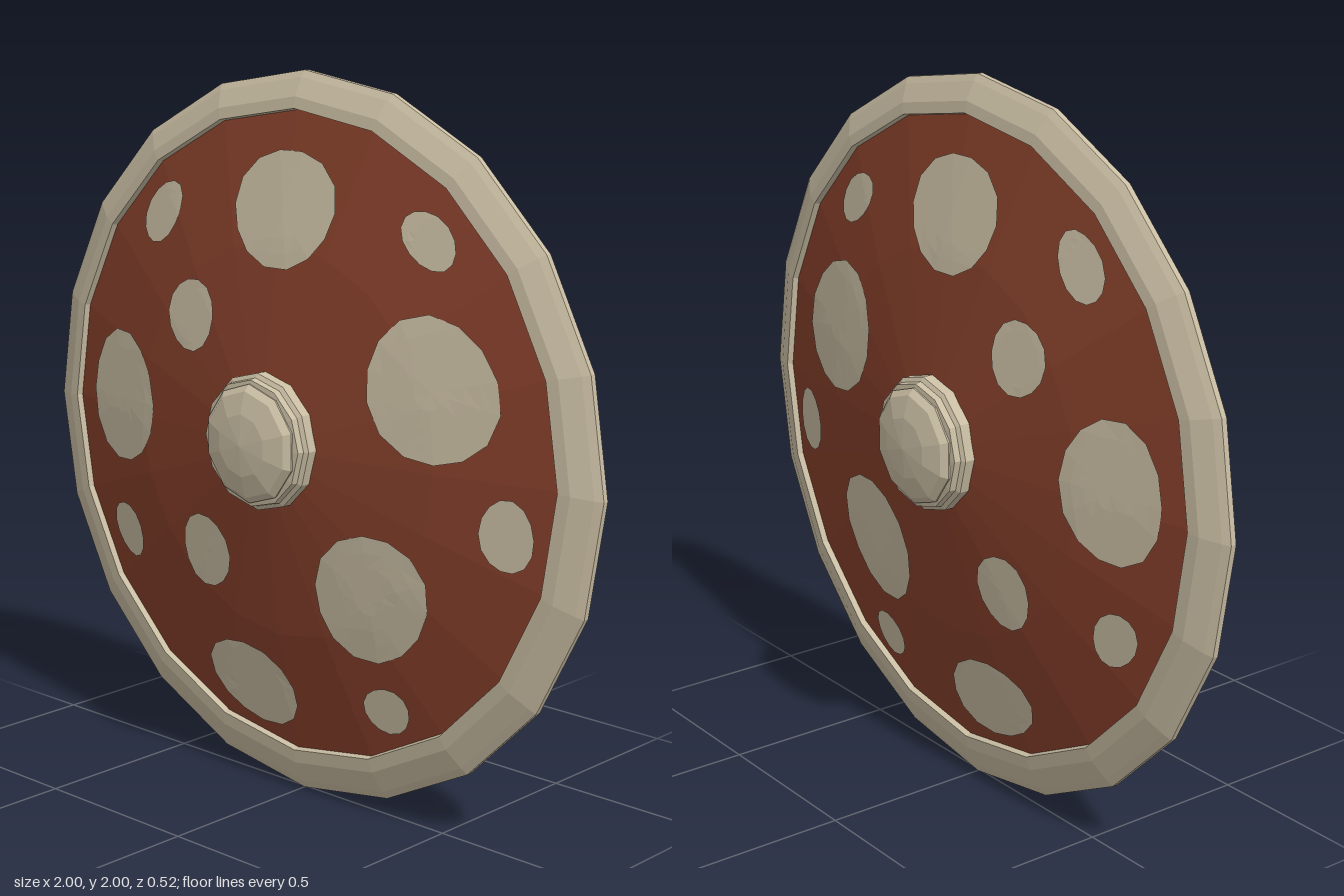
import * as THREE from 'three';

const SIDES = 20;
const CENTRE = 1.015; // height of the board's middle

// Board profile: radius, half thickness
const PROFILE = [[0, 0.178], [0.17, 0.164], [0.54, 0.108], [0.9, 0.03]];

// Spots: x, y, half width, half height, tilt in degrees
const SPOTS = [
  [0, 1.645, 0.182, 0.157, 0], [-0.49, 1.595, 0.1, 0.068, 50],
  [0.48, 1.6, 0.094, 0.062, -35], [-0.32, 1.33, 0.098, 0.1, 0],
  [0.525, 1.225, 0.2, 0.185, -35], [-0.645, 1.05, 0.16, 0.193, 0],
  [0.745, 0.88, 0.076, 0.096, 0], [-0.65, 0.65, 0.085, 0.066, 125],
  [-0.265, 0.67, 0.1, 0.106, 0], [0.335, 0.645, 0.192, 0.17, 45],
  [-0.14, 0.3, 0.176, 0.115, -12], [0.35, 0.325, 0.076, 0.066, 15],
];

// Height of the faceted board surface at a point measured from its middle
function boardHeight(x, y) {
  const step = (2 * Math.PI) / SIDES;
  const angle = Math.atan2(x, -y) + 2 * Math.PI;
  const off = (angle % step) - step / 2;
  const r = Math.hypot(x, y) * Math.cos(off) / Math.cos(step / 2);
  for (let i = 1; i < PROFILE.length; i++) {
    const [r0, z0] = PROFILE[i - 1], [r1, z1] = PROFILE[i];
    if (r <= r1) return z0 + (z1 - z0) * (r - r0) / (r1 - r0);
  }
  return PROFILE[PROFILE.length - 1][1];
}

// Lathe turned so that its axis points along z
function turned(points, sides) {
  const geo = new THREE.LatheGeometry(points.map(p => new THREE.Vector2(p[0], p[1])), sides);
  return geo.rotateX(Math.PI / 2);
}

// Thin patch draped over the board; side is 1 for front, -1 for back
function spotGeometry([cx, cy, rx, ry, tilt], side, seed) {
  const n = 14, rings = 4, t = THREE.MathUtils.degToRad(tilt);
  const geo = new THREE.RingGeometry(0.0001, 1, n, rings);
  const pos = geo.attributes.position;
  for (let i = 0; i < pos.count; i++) {
    const a = Math.atan2(pos.getY(i), pos.getX(i));
    const wobble = 1 + 0.025 * Math.sin(3 * a + seed * 1.7);
    const u = pos.getX(i) * rx * wobble, v = pos.getY(i) * ry * wobble;
    const x = cx + u * Math.cos(t) - v * Math.sin(t);
    const y = cy + u * Math.sin(t) + v * Math.cos(t);
    pos.setXYZ(i, side * x, y, boardHeight(x, y - CENTRE) + 0.004);
  }
  // The back patch is mirrored in x and then turned round to face backwards
  if (side < 0) {
    const idx = geo.index.array;
    for (let i = 0; i < idx.length; i += 3) [idx[i], idx[i + 1]] = [idx[i + 1], idx[i]];
    geo.rotateY(Math.PI);
  }
  geo.computeVertexNormals();
  return geo;
}

export function createModel() {
  const red = new THREE.MeshStandardMaterial({ color: 0x86402b, flatShading: true });
  red.name = 'redPaint';
  const bone = new THREE.MeshStandardMaterial({ color: 0xc9bda3, flatShading: true });
  bone.name = 'boneCream';

  const model = new THREE.Group();
  model.name = 'roundShield';
  const add = (name, geo, mat, parent = model) => {
    const mesh = new THREE.Mesh(geo, mat);
    mesh.name = name;
    parent.add(mesh);
    return mesh;
  };

  // Board: a shallow cone on both faces
  const front = [...PROFILE].reverse();
  const back = PROFILE.map(([r, z]) => [r, -z]);
  add('board', turned([...back, ...front], SIDES), red).position.y = CENTRE;

  // Rim: bevelled band, a little wider at the bottom
  const half = [[0.885, 0.03], [0.89, 0.05], [0.925, 0.045], [0.98, 0.02], [1, 0.008]];
  const rimGeo = turned([...half.map(([r, z]) => [r, -z]), ...[...half].reverse()], SIDES);
  const pos = rimGeo.attributes.position;
  for (let i = 0; i < pos.count; i++) {
    const r = Math.hypot(pos.getX(i), pos.getY(i));
    pos.setY(i, pos.getY(i) + 1.003 + 0.012 * (1 - r) / 0.115);
  }
  add('rim', rimGeo, bone);

  for (const side of [1, -1]) {
    const label = side > 0 ? 'front' : 'back';

    // Boss: stepped collar with a faceted dome
    const boss = new THREE.Group();
    boss.name = label + 'Boss';
    boss.position.y = 1.03;
    boss.rotation.y = side > 0 ? 0 : Math.PI;
    add('collar', turned([[0.187, 0.13], [0.187, 0.19], [0.175, 0.197], [0.172, 0.215], [0.15, 0.218]], 12), bone, boss);
    add('dome', turned([[0.158, 0.2], [0.162, 0.222], [0.145, 0.238], [0.085, 0.254], [0, 0.261]], 10), bone, boss);
    model.add(boss);

    // Painted spots, at the same places on both faces
    const spots = new THREE.Group();
    spots.name = label + 'Spots';
    SPOTS.forEach((s, i) => add('spot' + (i + 1), spotGeometry(s, side, i), bone, spots));
    model.add(spots);
  }
  return model;
}
